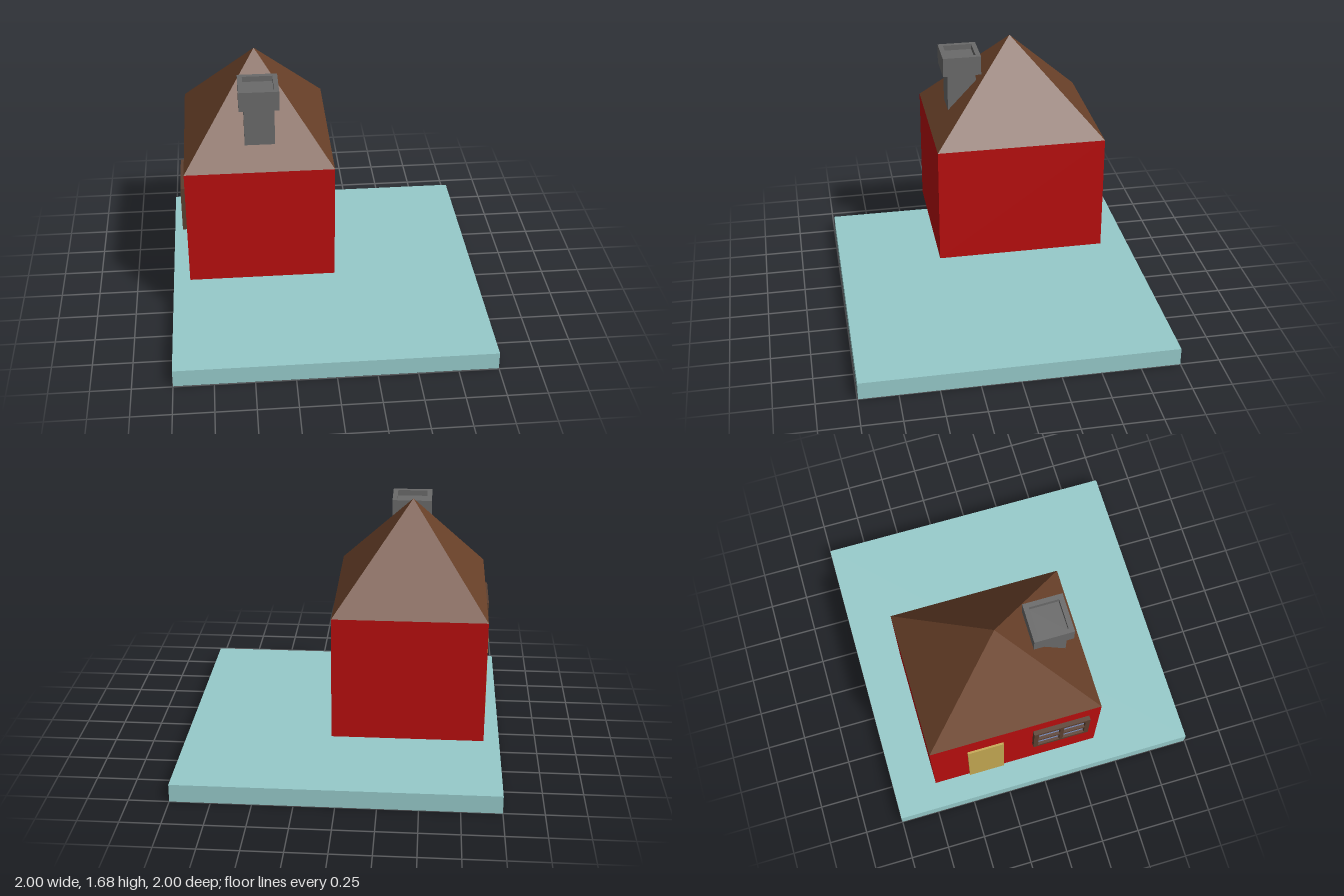
import * as THREE from 'three';

const mat = (color) => new THREE.MeshStandardMaterial({ color, flatShading: true });

const rect = (P, x0, x1, y0, y1) => new P([
  new THREE.Vector2(x0, y0), new THREE.Vector2(x1, y0),
  new THREE.Vector2(x1, y1), new THREE.Vector2(x0, y1),
]);

// Box given by its limits on each axis
function block(name, [x0, x1], [y0, y1], [z0, z1], material) {
  const mesh = new THREE.Mesh(new THREE.BoxGeometry(x1 - x0, y1 - y0, z1 - z0), material);
  mesh.position.set((x0 + x1) / 2, (y0 + y1) / 2, (z0 + z1) / 2);
  mesh.name = name;
  return mesh;
}

export function createModel() {
  const model = new THREE.Group();
  model.name = 'houseOnPlate';
  const grey = mat(0x6a6a6a);

  // Ground plate, with the house floating above it
  model.add(block('groundPlate', [-1, 1], [0, 0.115], [-1, 0.995], mat(0x96caca)));
  model.add(block('walls', [-0.88, 0.04], [0.33, 1.1], [-0.72, 0.36], mat(0xb80e0e)));

  // Pyramid roof, flush with the walls
  const roofGeo = new THREE.ConeGeometry(Math.SQRT1_2, 1, 4, 1, true);
  roofGeo.rotateY(Math.PI / 4).scale(0.92, 0.58, 1.08);
  const roof = new THREE.Mesh(roofGeo, mat(0x6b422a));
  roof.position.set(-0.42, 1.39, -0.18);
  roof.name = 'roof';
  model.add(roof);

  // Chimney: shaft and a hollow cap
  const chimney = new THREE.Group();
  chimney.name = 'chimney';
  chimney.add(block('chimneyShaft', [-0.503, -0.317], [1.22, 1.565], [0.058, 0.242], grey));
  const capShape = rect(THREE.Shape, -0.123, 0.123, -0.123, 0.123);
  capShape.holes.push(rect(THREE.Path, -0.093, 0.093, -0.092, 0.092));
  const capGeo = new THREE.ExtrudeGeometry(capShape, { depth: 0.125, bevelEnabled: false });
  const cap = new THREE.Mesh(capGeo.rotateX(-Math.PI / 2), grey);
  cap.position.set(-0.41, 1.475, 0.15);
  cap.name = 'chimneyCap';
  chimney.add(cap);
  model.add(chimney);

  // Door on the right wall
  model.add(block('door', [-0.893, -0.875], [0.335, 0.91], [-0.49, -0.26], mat(0xc4a852)));

  // Window: frame with four openings, glass set back inside
  const windowGroup = new THREE.Group();
  windowGroup.name = 'window';
  const w = 0.18, h = 0.148, border = 0.03, bar = 0.012;
  const frameShape = rect(THREE.Shape, -w, w, -h, h);
  for (const [x0, x1] of [[-w + border, -bar], [bar, w - border]]) {
    for (const [y0, y1] of [[-h + border, -bar], [bar, h - border]]) {
      frameShape.holes.push(rect(THREE.Path, x0, x1, y0, y1));
    }
  }
  const frameGeo = new THREE.ExtrudeGeometry(frameShape, { depth: 0.03, bevelEnabled: false });
  const frame = new THREE.Mesh(frameGeo.rotateY(-Math.PI / 2), mat(0x5c4030));
  frame.position.set(-0.878, 0.817, 0.11);
  frame.name = 'windowFrame';
  windowGroup.add(frame);
  windowGroup.add(block('windowGlass', [-0.89, -0.875], [0.68, 0.955], [-0.06, 0.28], mat(0x8296c8)));
  model.add(windowGroup);

  return model;
}
